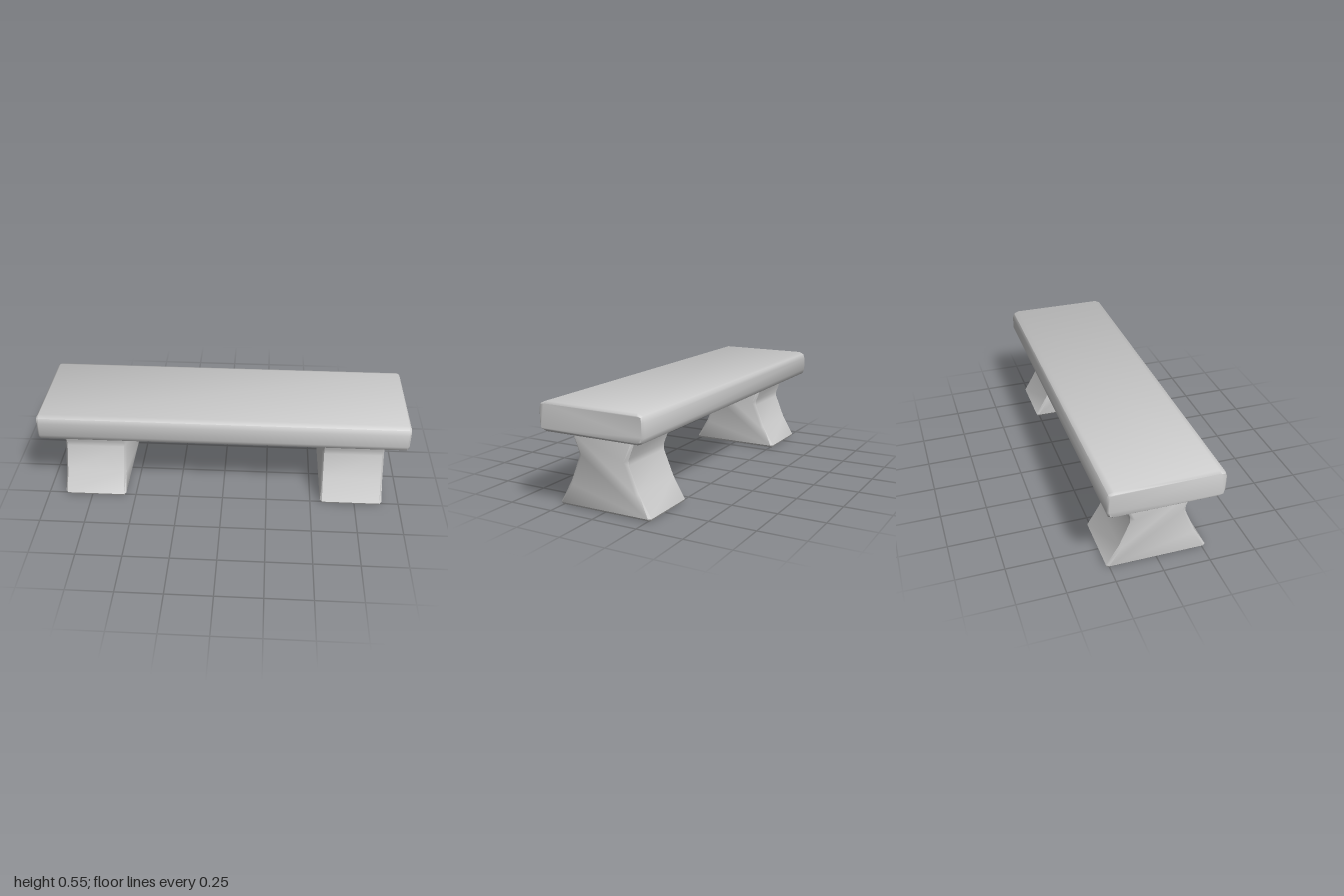
import * as THREE from 'three';
import { toCreasedNormals } from 'three/addons/utils/BufferGeometryUtils.js';

// Solid along x, with bevelled ends. Each half profile lists [depth, height] from bottom to top.
function bevelledBar(body, end, halfLength, bevel, crease) {
  const loop = half => [...half, ...half.slice().reverse().map(([u, y]) => [-u, y])];
  const outer = loop(body), inner = loop(end), n = outer.length;
  const rings = [
    [-halfLength, inner], [-halfLength + bevel, outer],
    [halfLength - bevel, outer], [halfLength, inner],
  ];
  const positions = [], index = [];
  for (const [x, pts] of rings) for (const [u, y] of pts) positions.push(x, y, -u);
  for (let i = 0; i < 3; i++) {
    for (let j = 0; j < n; j++) {
      const k = (j + 1) % n;
      const a = i * n + j, b = i * n + k, c = a + n, d = b + n;
      index.push(a, b, c, b, d, c);
    }
  }
  // End caps
  const contour = inner.map(([u, y]) => new THREE.Vector2(u, y));
  for (const [a, b, c] of THREE.ShapeUtils.triangulateShape(contour, [])) {
    index.push(3 * n + a, 3 * n + b, 3 * n + c, a, c, b);
  }
  const geometry = new THREE.BufferGeometry();
  geometry.setAttribute('position', new THREE.Float32BufferAttribute(positions, 3));
  geometry.setIndex(index);
  return toCreasedNormals(geometry, THREE.MathUtils.degToRad(crease));
}

export function createModel() {
  const bench = new THREE.Group();
  bench.name = 'bench';
  const stone = new THREE.MeshStandardMaterial({ color: 0xcccccc });
  stone.name = 'light grey stone';

  // Thick seat slab with rounded edges
  const seat = new THREE.Mesh(bevelledBar(
    [[0.262, 0.402], [0.29, 0.413], [0.3, 0.44], [0.3, 0.513], [0.29, 0.54], [0.262, 0.552]],
    [[0.265, 0.413], [0.284, 0.419], [0.289, 0.442], [0.289, 0.512], [0.284, 0.535], [0.265, 0.541]],
    1, 0.012, 50), stone);
  seat.name = 'seat';
  bench.add(seat);

  // Two waisted block legs
  const legGeometry = bevelledBar(
    [[0.26, 0], [0.267, 0.013], [0.2, 0.128], [0.145, 0.262], [0.145, 0.292], [0.183, 0.388], [0.176, 0.403]],
    [[0.25, 0.013], [0.254, 0.015], [0.187, 0.12], [0.123, 0.275], [0.123, 0.278], [0.169, 0.385], [0.168, 0.388]],
    0.174, 0.012, 40);
  for (const [name, side] of [['leftLeg', 1], ['rightLeg', -1]]) {
    const leg = new THREE.Mesh(legGeometry, stone);
    leg.name = name;
    leg.position.x = side * 0.729;
    bench.add(leg);
  }
  return bench;
}
